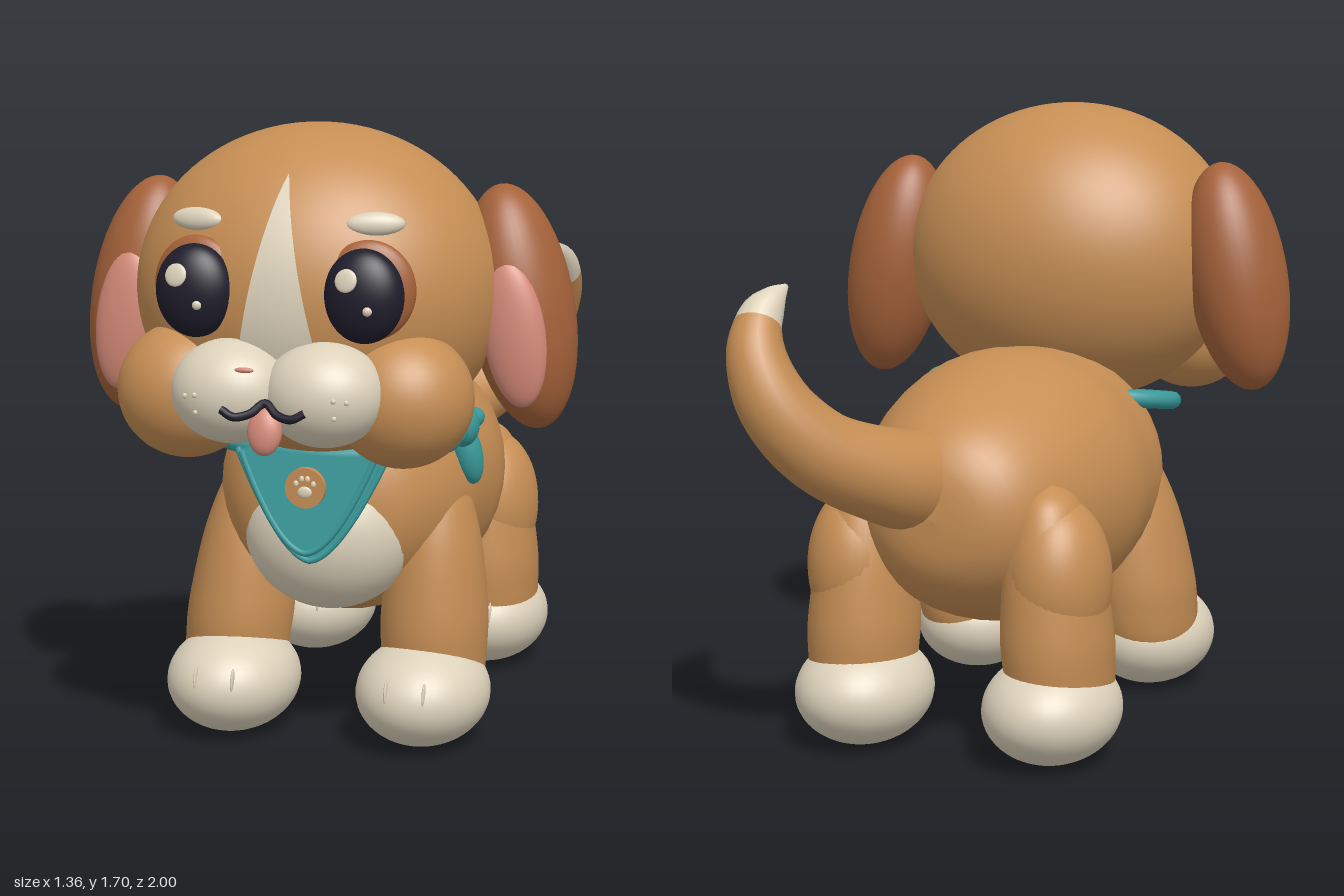
import * as THREE from 'three';

const V = (x, y, z) => new THREE.Vector3(x, y, z);
const mat = (name, color) => new THREE.MeshStandardMaterial({ name, color });

export function createModel() {
  const dog = new THREE.Group();
  dog.name = 'puppy';
  const tan = mat('tan fur', 0xc68e54);
  const brown = mat('brown fur', 0xa5623a);
  const cream = mat('cream fur', 0xddd2bb);
  const pink = mat('pink', 0xd58a78);
  const dark = mat('dark', 0x1f1d2b);
  const teal = mat('teal cloth', 0x3a9b9c);
  const creamSheet = cream;

  const add = (name, geo, material) => {
    const m = new THREE.Mesh(geo, material);
    m.name = name;
    dog.add(m);
    return m;
  };
  // ellipsoid: centre, radii, optional rotation
  const blob = (name, material, c, r, rot = [0, 0, 0], seg = 40) => {
    const m = add(name, new THREE.SphereGeometry(1, seg, Math.round(seg * 0.7)), material);
    m.position.set(...c);
    m.scale.set(...r);
    m.rotation.set(...rot);
    return m;
  };
  const tube = (name, material, pts, r, closed = false) =>
    add(name, new THREE.TubeGeometry(new THREE.CatmullRomCurve3(pts, closed), 64, r, 10, closed), material);
  // smooth lathe through a few [radius, height] points
  const lathe = (pts) => {
    const curve = new THREE.SplineCurve(pts.map((p) => new THREE.Vector2(...p)));
    const smooth = curve.getPoints(40);
    smooth.forEach((p) => { p.x = Math.max(p.x, 0); });
    return new THREE.LatheGeometry(smooth, 40);
  };

  // body, lying along z
  const body = lathe([[0, -0.71], [0.14, -0.69], [0.25, -0.6], [0.34, -0.4], [0.385, -0.18],
    [0.372, 0], [0.345, 0.18], [0.25, 0.36], [0.12, 0.43], [0, 0.445]]);
  body.rotateX(Math.PI / 2).scale(1.01, 0.985, 1).translate(0, 0.67, 0);
  add('body', body, tan);
  blob('chestPatch', cream, [0, 0.59, 0.29], [0.24, 0.225, 0.2]);

  // legs and paws
  const leg = (name, s, z, lean, rz) => {
    const g = lathe([[0, 0.12], [0.13, 0.14], [0.16, 0.28], [0.155, 0.42], [0.13, 0.58], [0.08, 0.71], [0, 0.76]]);
    g.scale(0.92, 1, rz);
    const p = g.attributes.position;
    for (let i = 0; i < p.count; i++) {
      const up = p.getY(i) - 0.28;
      p.setX(i, p.getX(i) + s * (0.283 - up * 0.05));
      p.setZ(i, p.getZ(i) + z - up * lean);
    }
    add(name + 'Leg', g, tan);
  };
  for (const s of [-1, 1]) {
    leg('front', s, 0.235, 0.25, 1.07);
    leg('hind', s, -0.52, 0.03, 1.12);
    blob('hindThigh', tan, [s * 0.285, 0.5, -0.53], [0.14, 0.22, 0.165]);
    for (const [name, z] of [['frontPaw', 0.32], ['hindPaw', -0.54]]) {
      blob(name, cream, [s * 0.272, 0.153, z], [0.184, 0.147, 0.223]);
      for (const x of [0.215, 0.32]) {
        blob('toeLine', cream, [s * x, 0.2, z + 0.2], [0.005, 0.032, 0.012], [-0.3, 0, 0], 12);
      }
    }
  }

  // tapered curling tail with a cream tip
  const tailPath = new THREE.CatmullRomCurve3([V(0.05, 0.74, -0.55), V(0.13, 0.78, -0.7), V(0.25, 0.86, -0.84),
    V(0.35, 0.98, -0.9), V(0.41, 1.1, -0.885), V(0.43, 1.185, -0.83), V(0.425, 1.235, -0.765), V(0.42, 1.265, -0.69)]);
  const N = 60, R = 24;
  const tail = new THREE.TubeGeometry(tailPath, N, 1, R);
  const tp = tail.attributes.position;
  const radii = [0.145, 0.135, 0.122, 0.112, 0.103, 0.092, 0.075, 0.054, 0.008];
  for (let j = 0; j <= N; j++) {
    const c = tailPath.getPointAt(j / N);
    const f = (j / N) * (radii.length - 1);
    const k = Math.min(Math.floor(f), radii.length - 2);
    const r = THREE.MathUtils.lerp(radii[k], radii[k + 1], f - k);
    for (let i = 0; i <= R; i++) {
      const v = V().fromBufferAttribute(tp, j * (R + 1) + i).sub(c).multiplyScalar(r).add(c);
      tp.setXYZ(j * (R + 1) + i, v.x, v.y, v.z);
    }
  }
  const split = 49 * R * 6;
  tail.addGroup(0, split, 0);
  tail.addGroup(split, N * R * 6 - split, 1);
  add('tail', tail, [tan, cream]);

  // head, cheeks and muzzle
  const hc = [0, 1.27, 0.39], hr = [0.495, 0.44, 0.42];
  blob('head', tan, hc, hr, [0, 0, 0], 64);
  const headZ = (x, y) => hc[2] + hr[2] * Math.sqrt(Math.max(0, 1 - (x / hr[0]) ** 2 - ((y - hc[1]) / hr[1]) ** 2));

  // forehead blaze laid over the head
  const rows = 16, cols = 6, pos = [], idx = [];
  for (let j = 0; j <= rows; j++) {
    const t = j / rows, y = 1.6 - 0.46 * t, w = 0.105 * Math.pow(t, 0.9);
    for (let i = 0; i <= cols; i++) {
      const x = w * (2 * i / cols - 1);
      pos.push(x, y, headZ(x, y) + 0.009);
      if (j < rows && i < cols) {
        const a = j * (cols + 1) + i, b = a + cols + 1;
        idx.push(a, b, a + 1, b, b + 1, a + 1);
      }
    }
  }
  const blaze = new THREE.BufferGeometry();
  blaze.setAttribute('position', new THREE.Float32BufferAttribute(pos, 3));
  blaze.setIndex(idx);
  blaze.computeVertexNormals();
  add('blaze', blaze, creamSheet);

  for (const s of [-1, 1]) {
    blob('cheek', tan, [s * 0.29, 1.025, 0.64], [0.185, 0.18, 0.18]);
    blob('muzzle', cream, [s * 0.122, 1.053, 0.785], [0.158, 0.135, 0.14]);
    for (const [x, y] of [[0.18, 1.015], [0.21, 1.055], [0.18, 1.02 + 0.04]]) {
      const q = 1 - ((x - 0.122) / 0.158) ** 2 - ((y - 1.053) / 0.135) ** 2;
      blob('whiskerDot', cream, [s * x, y, 0.785 + 0.14 * Math.sqrt(q)], [0.007, 0.007, 0.005], [0, 0, 0], 10);
    }
    // eyes and brows
    blob('eyeRim', brown, [s * 0.226, 1.315, 0.742], [0.12, 0.128, 0.04], [0, s * 0.15, 0]);
    const e = [s * 0.222, 1.305, 0.775], er = [0.103, 0.12, 0.065];
    blob('eye', dark, e, er);
    for (const [dx, dy, r] of [[-0.032, 0.045, 0.03], [0.024, -0.03, 0.012]]) {
      const z = e[2] + er[2] * Math.sqrt(1 - (dx / er[0]) ** 2 - (dy / er[1]) ** 2);
      blob('eyeShine', cream, [e[0] + dx, e[1] + dy, z], [r, r, 0.008], [dy > 0 ? -0.25 : 0.15, dx * 5, 0], 20);
    }
    blob('brow', cream, [s * 0.235, 1.48, 0.708], [0.075, 0.03, 0.022], [-0.3, s * 0.25, s * 0.08], 24);
    // floppy ears
    blob('ear', brown, [s * 0.528, 1.225, 0.3], [0.143, 0.33, 0.158], [0, 0, s * 0.18]);
    blob('innerEar', pink, [s * 0.537, 1.17, 0.43], [0.083, 0.195, 0.045], [0, 0, s * 0.14]);
  }
  blob('noseShine', pink, [-0.025, 1.143, 0.992], [0.025, 0.007, 0.008], [0, 0, 0], 16);
  blob('tongue', pink, [0, 0.975, 0.905], [0.045, 0.062, 0.028], [-0.2, 0, 0], 24);
  tube('mouth', dark, [V(-0.108, 1.028, 0.922), V(-0.075, 1.012, 0.928), V(-0.035, 1.02, 0.918), V(0, 1.045, 0.9),
    V(0.035, 1.02, 0.918), V(0.075, 1.012, 0.928), V(0.108, 1.028, 0.922)], 0.011);

  // neckerchief: neck band, two hanging layers with hems
  const ring = [];
  for (let i = 0; i < 24; i++) {
    const a = (i / 24) * Math.PI * 2;
    ring.push(V(0.35 * Math.sin(a), 0.865 - 0.035 * Math.cos(a), 0.24 + 0.225 * Math.cos(a)));
  }
  tube('neckBand', teal, ring, 0.026, true);
  for (const [w, tip, z] of [[0.21, 0.545, 0.47], [0.185, 0.575, 0.515]]) {
    const edge = new THREE.Shape();
    edge.moveTo(-w, 0.29);
    edge.quadraticCurveTo(-0.08, tip - 0.54, 0, tip - 0.55);
    edge.quadraticCurveTo(0.08, tip - 0.54, w, 0.29);
    const g = new THREE.Group();
    g.name = 'kerchiefLayer';
    const cloth = new THREE.Mesh(new THREE.ExtrudeGeometry(edge, { depth: 0.008, bevelEnabled: false, curveSegments: 16 }), teal);
    cloth.name = 'cloth';
    const hemPath = new THREE.CatmullRomCurve3(edge.getPoints(12).map((p) => V(p.x, p.y, 0.004)));
    const hem = new THREE.Mesh(new THREE.TubeGeometry(hemPath, 48, 0.009, 8), teal);
    hem.name = 'hem';
    g.add(cloth, hem);
    g.position.set(0, 0.55, z + 0.03);
    g.rotation.x = -0.12;
    dog.add(g);
  }
  // side knot with loose ends
  blob('knot', teal, [0.35, 0.875, 0.19], [0.045, 0.06, 0.06], [0, 0, 0], 24);
  blob('knotTailDown', teal, [0.35, 0.79, 0.135], [0.042, 0.095, 0.045], [0.15, 0, 0.2], 24);
  blob('knotTailBack', teal, [0.36, 0.88, 0.11], [0.03, 0.028, 0.075], [0, 0, 0], 24);
  blob('knotLoopFront', teal, [0.34, 0.86, 0.29], [0.03, 0.03, 0.1], [0.15, 0, 0], 24);

  // round tag with a paw mark
  const tag = new THREE.CylinderGeometry(0.055, 0.055, 0.018, 32).rotateX(Math.PI / 2).translate(0, 0.753, 0.538);
  add('tag', tag, tan);
  blob('pawPad', cream, [0, 0.742, 0.547], [0.02, 0.016, 0.006], [0, 0, 0], 16);
  for (const [x, y] of [[-0.024, 0.765], [-0.008, 0.778], [0.008, 0.778], [0.024, 0.765]]) {
    blob('pawToe', cream, [x, y, 0.547], [0.007, 0.009, 0.005], [0, 0, 0], 12);
  }
  return dog;
}
